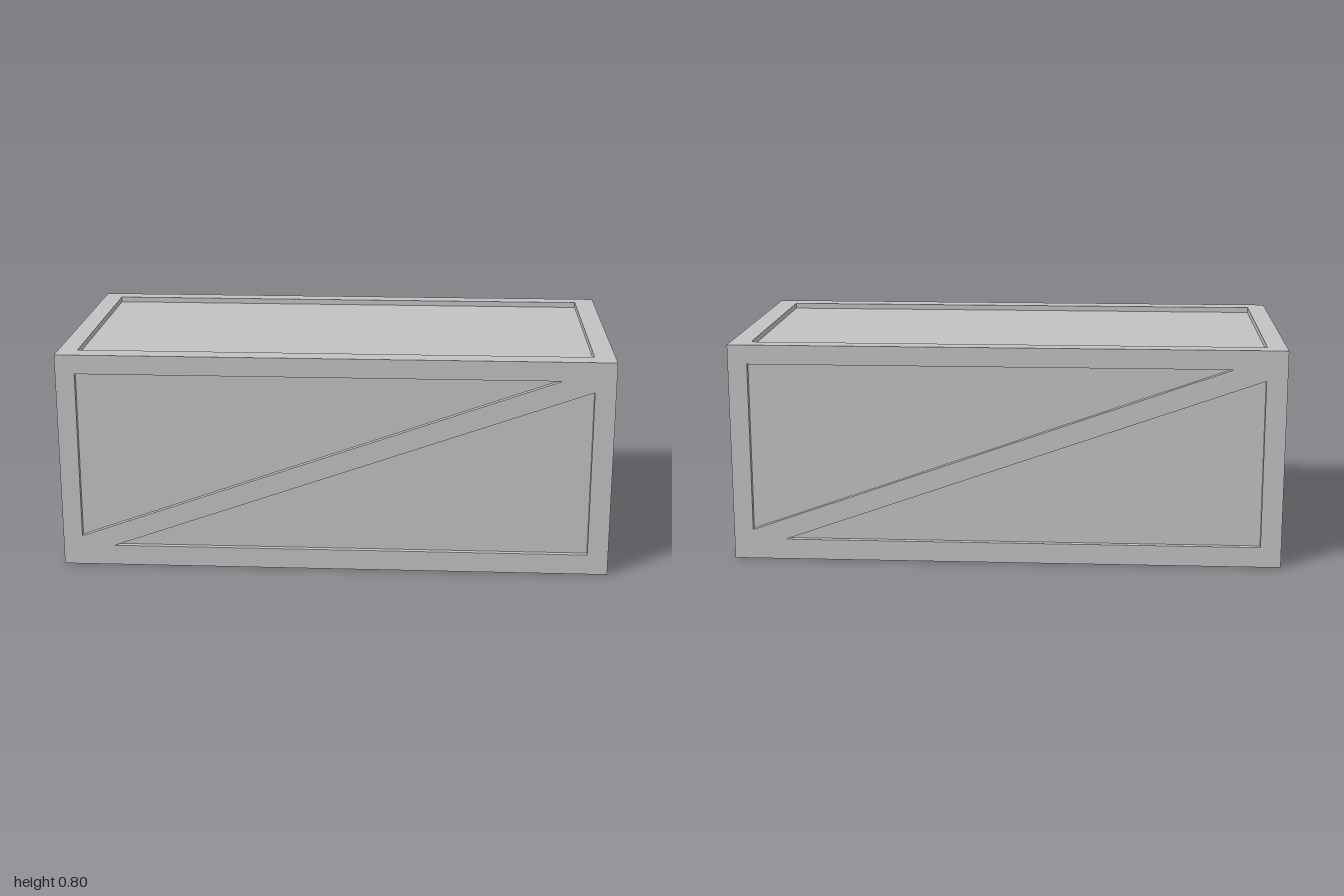
import * as THREE from 'three';

const W = 2, H = 0.8, D = 1, DEPTH = 0.02;

// One face of the crate: a flat frame with sunken areas (corners counter-clockwise)
function panel(name, material, x0, y0, x1, y1, recesses = []) {
  const group = new THREE.Group();
  group.name = name;
  const add = (part, geometry, z = 0) => {
    const mesh = new THREE.Mesh(geometry, material);
    mesh.name = part;
    mesh.position.z = z;
    group.add(mesh);
  };
  const toShape = (pts) => new THREE.Shape(pts.map(([x, y]) => new THREE.Vector2(x, y)));

  const frame = toShape([[x0, y0], [x1, y0], [x1, y1], [x0, y1]]);
  for (const pts of recesses) {
    const hole = toShape(pts);
    frame.holes.push(hole);
    add('recessFloor', new THREE.ShapeGeometry(hole), -DEPTH);

    // Inner walls joining the frame to the sunken floor
    const verts = [];
    pts.forEach((a, i) => {
      const b = pts[(i + 1) % pts.length];
      verts.push(...a, 0, ...b, 0, ...b, -DEPTH, ...a, 0, ...b, -DEPTH, ...a, -DEPTH);
    });
    const walls = new THREE.BufferGeometry();
    walls.setAttribute('position', new THREE.Float32BufferAttribute(verts, 3));
    walls.computeVertexNormals();
    add('recessWalls', walls);
  }
  add('frame', new THREE.ShapeGeometry(frame));
  return group;
}

export function createModel() {
  const model = new THREE.Group();
  model.name = 'crate';
  const grey = new THREE.MeshStandardMaterial({ color: 0xc2c2c2 });
  grey.name = 'light grey';

  // Triangles either side of the diagonal brace
  const longRecesses = [
    [[-0.93, 0.73], [-0.93, 0.11], [0.81, 0.73]],
    [[-0.81, 0.075], [0.925, 0.075], [0.925, 0.69]],
  ];
  const endRecesses = [
    [[-0.43, 0.73], [-0.43, 0.12], [0.365, 0.73]],
    [[-0.37, 0.075], [0.425, 0.075], [0.425, 0.685]],
  ];

  // Four walls; opposite walls are half-turn copies
  for (const [i, side] of ['front', 'left', 'back', 'right'].entries()) {
    const long = i % 2 === 0;
    const half = (long ? W : D) / 2;
    const wall = panel(side + 'Wall', grey, -half, 0, half, H, long ? longRecesses : endRecesses);
    wall.rotation.y = i * Math.PI / 2;
    wall.translateZ((long ? D : W) / 2);
    model.add(wall);
  }

  // Lid with one rectangular recess
  const lid = panel('lid', grey, -W / 2, -D / 2, W / 2, D / 2, [
    [[-0.93, -0.425], [0.925, -0.425], [0.925, 0.435], [-0.93, 0.435]],
  ]);
  lid.rotation.x = -Math.PI / 2;
  lid.position.y = H;
  model.add(lid);

  // Plain underside
  const base = panel('base', grey, -W / 2, -D / 2, W / 2, D / 2);
  base.rotation.x = Math.PI / 2;
  model.add(base);

  return model;
}
